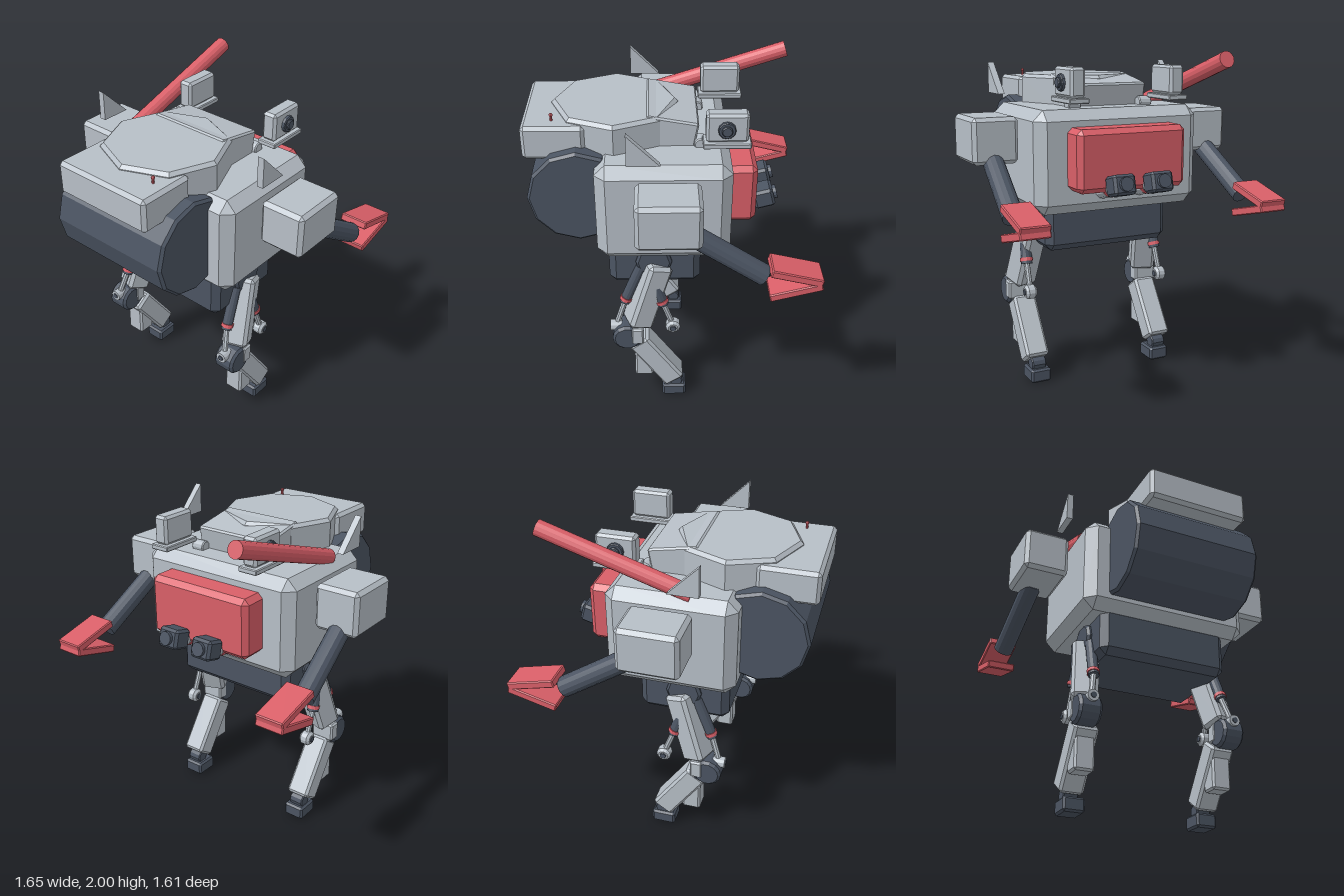
import * as THREE from 'three';
import { ConvexGeometry } from 'three/addons/geometries/ConvexGeometry.js';

const mat = (name, color) => {
  const m = new THREE.MeshStandardMaterial({ color, flatShading: true });
  m.name = name;
  return m;
};

// box with chamfered edges
function chamferBox(w, h, d, c) {
  const pts = [];
  for (const x of [-1, 1]) for (const y of [-1, 1]) for (const z of [-1, 1]) {
    const [X, Y, Z] = [w / 2, h / 2, d / 2];
    pts.push(new THREE.Vector3(x * X, y * (Y - c), z * (Z - c)));
    pts.push(new THREE.Vector3(x * (X - c), y * Y, z * (Z - c)));
    pts.push(new THREE.Vector3(x * (X - c), y * (Y - c), z * Z));
  }
  return new ConvexGeometry(pts);
}

export function createModel() {
  const model = new THREE.Group();
  model.name = 'walkerRobot';
  const light = mat('light grey armour', 0xb7bfc7);
  const dark = mat('dark slate', 0x4b5462);
  const red = mat('coral red', 0xd95f68);

  const add = (name, geo, m, x = 0, y = 0, z = 0) => {
    const mesh = new THREE.Mesh(geo, m);
    mesh.name = name;
    mesh.position.set(x, y, z);
    model.add(mesh);
    return mesh;
  };
  // chamfered box given by its extents
  const box = (name, m, x0, x1, y0, y1, z0, z1, c) =>
    add(name, chamferBox(Math.abs(x1 - x0), y1 - y0, z1 - z0, c), m,
      (x0 + x1) / 2, (y0 + y1) / 2, (z0 + z1) / 2);
  // box running from point a to point b, x stays level
  const beam = (name, m, a, b, w, t, c) => {
    const A = new THREE.Vector3(...a), B = new THREE.Vector3(...b);
    const mesh = add(name, chamferBox(w, t, A.distanceTo(B), c), m);
    mesh.position.copy(A).lerp(B, 0.5);
    mesh.lookAt(B);
    return mesh;
  };
  // cylinder running from point a to point b
  const rod = (name, m, a, b, r, sides = 12) => {
    const A = new THREE.Vector3(...a), B = new THREE.Vector3(...b);
    const mesh = add(name, new THREE.CylinderGeometry(r, r, A.distanceTo(B), sides), m);
    mesh.position.copy(A).lerp(B, 0.5);
    mesh.quaternion.setFromUnitVectors(new THREE.Vector3(0, 1, 0), B.sub(A).normalize());
    return mesh;
  };
  // cylinder along x with chamfered rims
  const drum = (name, m, x0, x1, y, z, r, sides, c) => {
    const h = Math.abs(x1 - x0) / 2;
    const profile = [[0, -h], [r - c, -h], [r, c - h], [r, h - c], [r - c, h], [0, h]];
    const geo = new THREE.LatheGeometry(profile.map(p => new THREE.Vector2(...p)), sides);
    geo.rotateZ(Math.PI / 2);
    return add(name, geo, m, (x0 + x1) / 2, y, z);
  };

  // torso
  box('torso', light, -0.52, 0.52, 1.09, 1.68, -0.335, 0.41, 0.06);
  box('pelvis', dark, -0.4, 0.4, 0.84, 1.13, -0.175, 0.355, 0.04);
  drum('cockpitDrum', dark, -0.385, 0.385, 1.43, 0.51, 0.28, 12, 0.015);
  box('cockpitRoof', light, -0.31, 0.31, 1.63, 1.825, 0.46, 0.805, 0.02);

  // octagonal hatch with chamfered top, and the sloped block behind it
  const hatchProfile = [[0, -0.1], [0.355, -0.1], [0.355, 0.07], [0.335, 0.09], [0, 0.09]];
  add('hatch', new THREE.LatheGeometry(hatchProfile.map(p => new THREE.Vector2(...p)), 8), light, 0, 1.76, 0.305);
  add('neckBlock', chamferBox(0.5, 0.2, 0.29, 0.01), light, 0, 1.735, 0).rotation.x = -0.18;
  rod('antenna', red, [0.22, 1.8, 0.64], [0.22, 1.855, 0.64], 0.007, 8);
  add('antennaTip', new THREE.SphereGeometry(0.011, 8, 6), red, 0.22, 1.857, 0.64);

  // back: cannon, pack and thrusters
  rod('cannon', red, [-0.445, 1.68, 0.15], [-0.445, 1.955, -0.705], 0.047, 14);
  box('backpack', red, -0.34, 0.34, 1.23, 1.585, -0.485, -0.3, 0.03);

  for (const s of [-1, 1]) {
    // thruster: pipe, red band, nozzle box and cap share one tilted axis
    const axis = t => [s * 0.118, 1.28 + t * 0.26, -0.55 - t * 0.965];
    rod('thrusterPipe', light, axis(-0.24), axis(-0.04), 0.052);
    rod('thrusterBand', red, axis(-0.13), axis(-0.1), 0.055);
    rod('thrusterFlange', light, axis(-0.08), axis(-0.055), 0.06);
    beam('thrusterBox', dark, axis(-0.06), axis(0.06), 0.135, 0.115, 0.015);
    rod('thrusterCap', dark, axis(0.05), axis(0.08), 0.04);

    // sensor pod on its plate
    box('sensorPlate', light, s * 0.25, s * 0.37, 1.72, 1.75, -0.435, -0.175, 0.005);
    box('sensorPod', light, s * 0.265, s * 0.355, 1.75, 1.915, -0.42, -0.19, 0.015);
    drum('sensorLens', dark, s * 0.345, s * 0.375, 1.83, -0.3, 0.048, 12, 0.005);
    drum('sensorLensHub', dark, s * 0.37, s * 0.388, 1.83, -0.3, 0.03, 10, 0.005);
    drum('podHinge', light, s * 0.19, s * 0.27, 1.695, -0.167, 0.035, 12, 0.006);

    // triangular fin
    const tri = new THREE.Shape([[-0.23, 1.75], [-0.055, 1.75], [-0.23, 1.925]].map(p => new THREE.Vector2(...p)));
    const fin = new THREE.ExtrudeGeometry(tri, { depth: 0.038, bevelEnabled: false });
    fin.translate(0, 0, -0.019).rotateY(Math.PI / 2);
    add('fin', fin, light, s * 0.577, 0, 0);

    // arm and claw
    box('shoulder', light, s * 0.557, s * 0.825, 1.377, 1.64, -0.16, 0.19, 0.022);
    rod('forearm', dark, [s * 0.695, 1.42, -0.07], [s * 0.728, 1.15, -0.5], 0.06, 14);
    beam('upperJaw', red, [s * 0.725, 1.215, -0.525], [s * 0.725, 1.145, -0.805], 0.17, 0.046, 0.006);
    beam('lowerJaw', red, [s * 0.725, 1.05, -0.525], [s * 0.725, 1.125, -0.805], 0.17, 0.046, 0.006);

    // hip and thigh
    drum('hip', dark, s * 0.32, s * 0.425, 1.01, 0.095, 0.105, 10, 0.015);
    beam('thigh', light, [s * 0.385, 0.99, 0.07], [s * 0.435, 0.575, 0.2], 0.155, 0.15, 0.02);

    // front piston
    rod('frontPistonSleeve', dark, [s * 0.395, 0.97, 0.17], [s * 0.412, 0.72, 0.272], 0.032);
    rod('frontPistonBand', red, [s * 0.411, 0.755, 0.258], [s * 0.412, 0.735, 0.266], 0.037);
    rod('frontPistonRod', light, [s * 0.412, 0.73, 0.268], [s * 0.444, 0.565, 0.325], 0.018, 8);
    rod('frontPistonEnd', light, [s * 0.444, 0.565, 0.29], [s * 0.444, 0.565, 0.36], 0.034);
    rod('frontPistonPin', dark, [s * 0.444, 0.565, 0.3], [s * 0.444, 0.565, 0.365], 0.017, 10);

    // rear piston
    rod('rearPistonSleeve', dark, [s * 0.435, 0.9, 0.1], [s * 0.447, 0.725, 0.043], 0.034);
    rod('rearPistonBand', red, [s * 0.445, 0.76, 0.055], [s * 0.446, 0.74, 0.048], 0.039);
    rod('rearPistonRod', light, [s * 0.446, 0.74, 0.048], [s * 0.45, 0.57, -0.015], 0.018, 8);
    drum('rearPistonEnd', light, s * 0.415, s * 0.485, 0.565, -0.015, 0.044, 12, 0.015);
    drum('rearPistonPin', dark, s * 0.41, s * 0.49, 0.565, -0.015, 0.02, 10, 0.003);

    // knee
    drum('knee', dark, s * 0.38, s * 0.515, 0.51, 0.26, 0.088, 14, 0.015);
    box('kneeBlock', dark, s * 0.385, s * 0.5, 0.43, 0.56, 0.17, 0.3, 0.015);
    box('kneeBracket', light, s * 0.375, s * 0.52, 0.47, 0.585, 0.16, 0.235, 0.01);

    // shin, calf plate and foot
    beam('shin', light, [s * 0.428, 0.46, 0.195], [s * 0.428, 0.137, -0.028], 0.145, 0.135, 0.015);
    box('calfPlate', light, s * 0.368, s * 0.488, 0.185, 0.395, 0.105, 0.217, 0.012);
    drum('ankle', dark, s * 0.375, s * 0.465, 0.11, -0.035, 0.042, 10, 0.006);
    box('foot', dark, s * 0.35, s * 0.48, 0, 0.085, -0.095, 0.05, 0.012);
  }
  return model;
}
